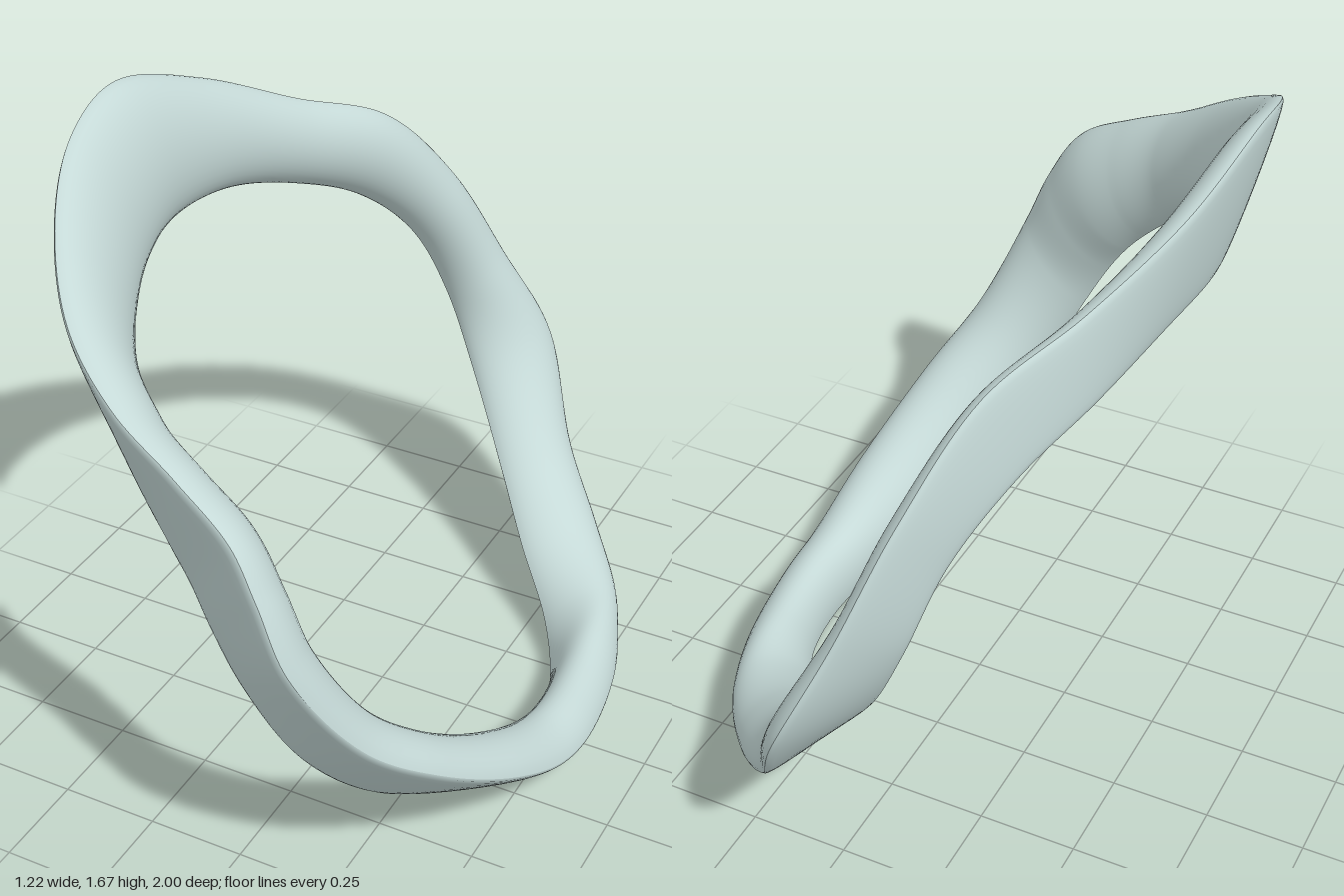
import * as THREE from 'three';

// The two rims of the band, in matching order: top, front, bottom, back
const UPPER_RIM = [
  -.6, 1.67, .18, -.575, 1.63, .4, -.49, 1.53, .6, -.34, 1.4, .79, -.18, 1.29, .88, 0, 1.2, .93,
  .15, 1.11, .97, .22, 1, .99, .29, .83, .99, .4, .57, .86, .5, .4, .68, .58, .22, .42,
  .61, .1, .18, .61, .07, 0, .56, .06, -.27, .455, .065, -.5, .3, .14, -.7, .15, .28, -.85,
  .02, .55, -1, -.1, .82, -.93, -.2, 1.1, -.8, -.3, 1.33, -.6, -.43, 1.44, -.37, -.55, 1.57, -.12,
];
const LOWER_RIM = [
  -.53, 1.29, .1, -.5, 1.26, .27, -.41, 1.2, .48, -.3, 1.12, .66, -.2, 1.03, .76, -.1, .93, .81,
  -.04, .86, .83, .02, .77, .85, .09, .64, .85, .19, .43, .79, .28, .23, .63, .36, .08, .4,
  .43, .01, .2, .45, 0, .03, .42, .015, -.15, .33, .08, -.32, .19, .19, -.47, .06, .32, -.61,
  -.1, .53, -.75, -.2, .74, -.78, -.27, .95, -.7, -.36, 1.11, -.55, -.45, 1.21, -.35, -.51, 1.28, -.12,
];
// Thickness of the inner swell around the ring, starting at the top
const DEPTHS = [.085, .075, .095, .115, .115, .115, .12, .115, .09, .09, .085, .08];
const SEGMENTS = 240;

function closedCurve(n) {
  const points = [];
  for (let i = 0; i < n.length; i += 3) points.push(new THREE.Vector3(n[i], n[i + 1], n[i + 2]));
  return new THREE.CatmullRomCurve3(points, true, 'centripetal');
}

function depthAt(t) {
  const s = t * DEPTHS.length, i = Math.floor(s);
  return THREE.MathUtils.lerp(DEPTHS[i], DEPTHS[(i + 1) % DEPTHS.length], THREE.MathUtils.smoothstep(s - i, 0, 1));
}

// Closed strip: pointAt(t, v) runs around the ring with t and across it with v
function closedStrip(pointAt, across) {
  const positions = [], index = [], row = across + 1;
  for (let i = 0; i < SEGMENTS; i++) {
    for (let j = 0; j <= across; j++) positions.push(...pointAt(i / SEGMENTS, j / across).toArray());
    const a = i * row, b = ((i + 1) % SEGMENTS) * row;
    for (let j = 0; j < across; j++) {
      index.push(a + j, b + j, a + j + 1, b + j, b + j + 1, a + j + 1);
    }
  }
  const geometry = new THREE.BufferGeometry();
  geometry.setAttribute('position', new THREE.Float32BufferAttribute(positions, 3));
  geometry.setIndex(index);
  geometry.computeVertexNormals();
  return geometry;
}

export function createModel() {
  const group = new THREE.Group();
  group.name = 'twistedRing';
  const material = new THREE.MeshStandardMaterial({ color: 0xc5d9d7 });
  const upper = closedCurve(UPPER_RIM), lower = closedCurve(LOWER_RIM);

  // Point on the cross-section: angle 0 is the upper rim, PI the lower rim
  function sectionPoint(t, angle, depth, power, lean) {
    const a = upper.getPoint(t), b = lower.getPoint(t);
    const half = a.clone().sub(b).multiplyScalar(0.5);
    const tangent = upper.getTangent(t).add(lower.getTangent(t));
    const inward = half.clone().cross(tangent).normalize();
    const rise = Math.max(0, Math.sin(angle));
    return a.add(b).multiplyScalar(0.5)
      .addScaledVector(half, Math.cos(angle) + lean * rise)
      .addScaledVector(inward, depth * rise ** power);
  }

  // The swell leans towards the upper rim along the bottom of the ring
  const leanAt = (t) => 0.25 * Math.max(0, -Math.cos(2 * Math.PI * t));

  // Nearly flat outer face and swelling inner face
  const outer = closedStrip((t, v) => sectionPoint(t, (1 - v) * Math.PI, -0.014, 0.7, 0), 12);
  const inner = closedStrip((t, v) => sectionPoint(t, v * Math.PI, depthAt(t), 1.15, leanAt(t)), 20);

  for (const [name, geometry] of [['outerFace', outer], ['innerFace', inner]]) {
    const mesh = new THREE.Mesh(geometry, material);
    mesh.name = name;
    group.add(mesh);
  }
  return group;
}
